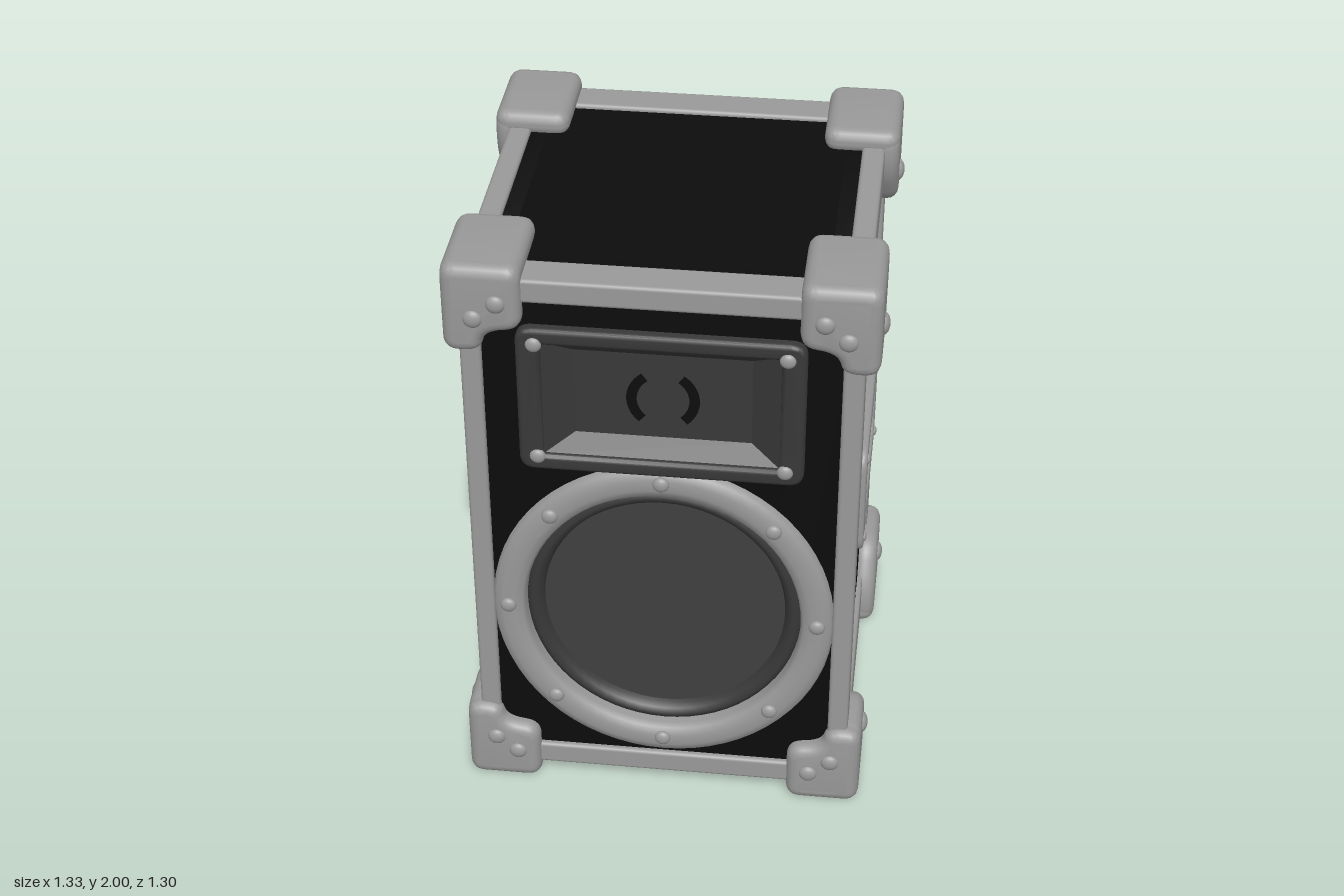
import * as THREE from 'three';
import { toCreasedNormals } from 'three/addons/utils/BufferGeometryUtils.js';
import { RoundedBoxGeometry } from 'three/addons/geometries/RoundedBoxGeometry.js';

const material = (name, color) => {
  const m = new THREE.MeshStandardMaterial({ color });
  m.name = name;
  return m;
};

// Closed outline with its corners rounded by r
function outline(pts, r, Type = THREE.Shape) {
  const path = new Type();
  const v = pts.map(([x, y]) => new THREE.Vector2(x, y));
  v.forEach((p, i) => {
    const toward = (q) => p.clone().add(q.clone().sub(p).setLength(Math.min(r, p.distanceTo(q) * 0.45)));
    const a = toward(v[(i + v.length - 1) % v.length]);
    const b = toward(v[(i + 1) % v.length]);
    if (i === 0) path.moveTo(a.x, a.y); else path.lineTo(a.x, a.y);
    path.quadraticCurveTo(p.x, p.y, b.x, b.y);
  });
  path.closePath();
  return path;
}

const rect = (hx, hy, cy = 0) => [[-hx, cy - hy], [hx, cy - hy], [hx, cy + hy], [-hx, cy + hy]];

// Extruded plate centred on z = 0, with a rounded rim
function plate(shape, thickness, bevel = 0) {
  const depth = thickness - 2 * bevel;
  const geo = new THREE.ExtrudeGeometry(shape, {
    depth, curveSegments: 8, bevelEnabled: bevel > 0, bevelThickness: bevel,
    bevelSize: bevel, bevelOffset: -bevel, bevelSegments: 4,
  });
  geo.translate(0, 0, -depth / 2);
  return toCreasedNormals(geo, 0.7);
}

export function createModel() {
  const model = new THREE.Group();
  model.name = 'loudspeaker';
  const black = material('black covering', 0x0c0c0c);
  const metal = material('grey metal', 0x999999);
  const hornGrey = material('dark grey horn', 0x383838);
  const coneGrey = material('dark grey cone', 0x404040);

  const add = (name, geo, mat, x = 0, y = 0, z = 0, parent = model) => {
    const mesh = new THREE.Mesh(geo, mat);
    mesh.name = name;
    mesh.position.set(x, y, z);
    parent.add(mesh);
    return mesh;
  };
  const rivet = (name, r, axis, x, y, z, parent = model) => {
    const mesh = add(name, new THREE.SphereGeometry(r, 16, 10), metal, x, y, z, parent);
    mesh.scale[axis] = 0.6;
  };
  const signs = [-1, 1];
  const wooferY = 0.725, hornY = 1.535, handleY = 1.015, stretch = 1.06;

  // Cabinet: core, pierced side panels and pierced front baffle
  add('cabinetCore', new THREE.BoxGeometry(0.96, 1.87, 1.03), black, 0, 1, -0.065);
  const baffle = outline(rect(0.585, 0.935, 1), 0.005);
  baffle.holes.push(outline(rect(0.39, 0.22, hornY), 0.01, THREE.Path));
  const opening = new THREE.Path();
  opening.absellipse(0, wooferY, 0.49, 0.49 * stretch, 0, Math.PI * 2);
  baffle.holes.push(opening);
  add('frontBaffle', plate(baffle, 0.13), black, 0, 0, 0.52);

  for (const s of signs) {
    const side = new THREE.Group();
    side.name = s > 0 ? 'leftSide' : 'rightSide';
    model.add(side);
    const panel = outline([[-0.46, 0.065], [0.58, 0.065], [0.58, 1.935], [-0.46, 1.935]], 0.002);
    panel.holes.push(outline(rect(0.28, 0.14, handleY), 0.04, THREE.Path));
    add('sidePanel', plate(panel, 0.107).rotateY(Math.PI / 2), black, s * 0.532, 0, 0, side);

    // Recessed carrying handle
    const frame = outline(rect(0.347, 0.197), 0.07);
    frame.holes.push(outline(rect(0.265, 0.125), 0.045, THREE.Path));
    add('handleFrame', plate(frame, 0.04, 0.012).rotateY(Math.PI / 2), metal, s * 0.597, handleY, 0, side);
    const bar = new THREE.CylinderGeometry(0.046, 0.046, 0.47, 20).rotateX(Math.PI / 2);
    add('handleBar', bar, hornGrey, s * 0.54, 0.97, 0, side);
    for (const a of signs) for (const b of signs) {
      rivet('handleScrew', 0.017, 'x', s * 0.616, handleY + a * 0.155, b * 0.295, side);
    }
  }

  // Metal edge trims
  const trim = (name, w, h, d, x, y, z) => add(name, new RoundedBoxGeometry(w, h, d, 2, 0.012), metal, x, y, z);
  for (const a of signs) for (const b of signs) {
    trim('uprightTrim', 0.065, 1.8, 0.118, a * 0.5725, 1, b * 0.546);
    trim('crossTrim', 1.1, 0.08, 0.122, 0, 1 + a * 0.91, b * 0.543);
    trim('sideTrim', 0.072, 0.138, 1.1, a * 0.568, 1 + b * 0.881, 0);
  }

  // Corner protectors: three rounded plates meeting at each corner
  const facePts = [[0.65, 1], [0.41, 1], [0.41, 0.785], [0.52, 0.77], [0.54, 0.7], [0.65, 0.7]];
  const sidePts = [[0.635, 1], [0.3, 1], [0.3, 0.86], [0.39, 0.7], [0.635, 0.7]];
  const capPts = [[0.65, 0.635], [0.41, 0.635], [0.41, 0.3], [0.65, 0.3]];
  const T = 0.08, B = 0.036;
  for (const sx of signs) for (const sy of signs) for (const sz of signs) {
    const corner = new THREE.Group();
    corner.name = 'cornerProtector';
    corner.position.y = 1;
    model.add(corner);
    const face = plate(outline(facePts.map(([x, y]) => [sx * x, sy * y]), 0.05), T, B);
    add('cornerFace', face, metal, 0, 0, sz * (0.635 - T / 2), corner);
    const cheek = plate(outline(sidePts.map(([z, y]) => [-sz * z, sy * y]), 0.07), T, B);
    add('cornerCheek', cheek.rotateY(Math.PI / 2), metal, sx * (0.65 - T / 2), 0, 0, corner);
    const cap = plate(outline(capPts.map(([x, z]) => [sx * x, sz * z]), 0.05), T, B);
    add('cornerCap', cap.rotateX(Math.PI / 2), metal, 0, sy * (1 - T / 2), 0, corner);
    rivet('cornerRivet', 0.03, 'z', sx * 0.553, sy * 0.825, sz * 0.632, corner);
    rivet('cornerRivet', 0.03, 'z', sx * 0.483, sy * 0.88, sz * 0.632, corner);
    rivet('cornerRivet', 0.036, 'x', sx * 0.645, sy * 0.79, sz * 0.46, corner);
  }

  // Horn: bezel, sloping throat, back plate and slots
  const horn = new THREE.Group();
  horn.name = 'horn';
  horn.position.y = hornY;
  model.add(horn);
  const bezel = outline(rect(0.435, 0.255), 0.05);
  bezel.holes.push(outline(rect(0.36, 0.2), 0.01, THREE.Path));
  add('hornBezel', plate(bezel, 0.06, 0.015), hornGrey, 0, 0, 0.59, horn);
  const outer = rect(0.365, 0.205), inner = rect(0.27, 0.15);
  const throat = [];
  for (let i = 0; i < 4; i++) {
    const j = (i + 1) % 4;
    const a = [...outer[i], 0.605], b = [...outer[j], 0.605];
    const c = [...inner[j], 0.55], d = [...inner[i], 0.55];
    throat.push(...a, ...b, ...c, ...a, ...c, ...d);
  }
  const throatGeo = new THREE.BufferGeometry();
  throatGeo.setAttribute('position', new THREE.Float32BufferAttribute(throat, 3));
  throatGeo.computeVertexNormals();
  add('hornThroat', throatGeo, hornGrey, 0, 0, 0, horn);
  add('hornBack', new THREE.PlaneGeometry(0.54, 0.3), hornGrey, 0, 0, 0.55, horn);
  for (const start of [-0.85, Math.PI - 0.95]) {
    add('hornSlot', new THREE.RingGeometry(0.08, 0.112, 20, 1, start, 1.8), black, 0, -0.01, 0.554, horn);
  }
  for (const a of signs) for (const b of signs) {
    rivet('hornScrew', 0.025, 'z', a * 0.378, b * 0.203, 0.618, horn);
  }

  // Woofer: metal ring, rolled surround and cone, slightly taller than wide
  const lathe = (pts) => new THREE.LatheGeometry(pts.map(([r, z]) => new THREE.Vector2(r, z)), 64)
    .rotateX(Math.PI / 2).scale(1, stretch, 1);
  const ring = [[0.545, 0.57], [0.545, 0.59], [0.535, 0.608], [0.51, 0.618], [0.475, 0.618],
    [0.45, 0.608], [0.44, 0.59], [0.44, 0.53]];
  add('wooferRing', lathe(ring), metal, 0, wooferY, 0);
  const surround = [[0.445, 0.55], [0.435, 0.57], [0.418, 0.58], [0.4, 0.57], [0.39, 0.55], [0.385, 0.535]];
  add('wooferSurround', lathe(surround), hornGrey, 0, wooferY, 0);
  add('wooferCone', lathe([[0.39, 0.54], [0, 0.54]]), coneGrey, 0, wooferY, 0);
  for (let i = 0; i < 8; i++) {
    const t = (i * Math.PI) / 4;
    rivet('wooferBolt', 0.026, 'z', 0.493 * Math.cos(t), wooferY + 0.01 + 0.52 * Math.sin(t), 0.62);
  }

  return model;
}
